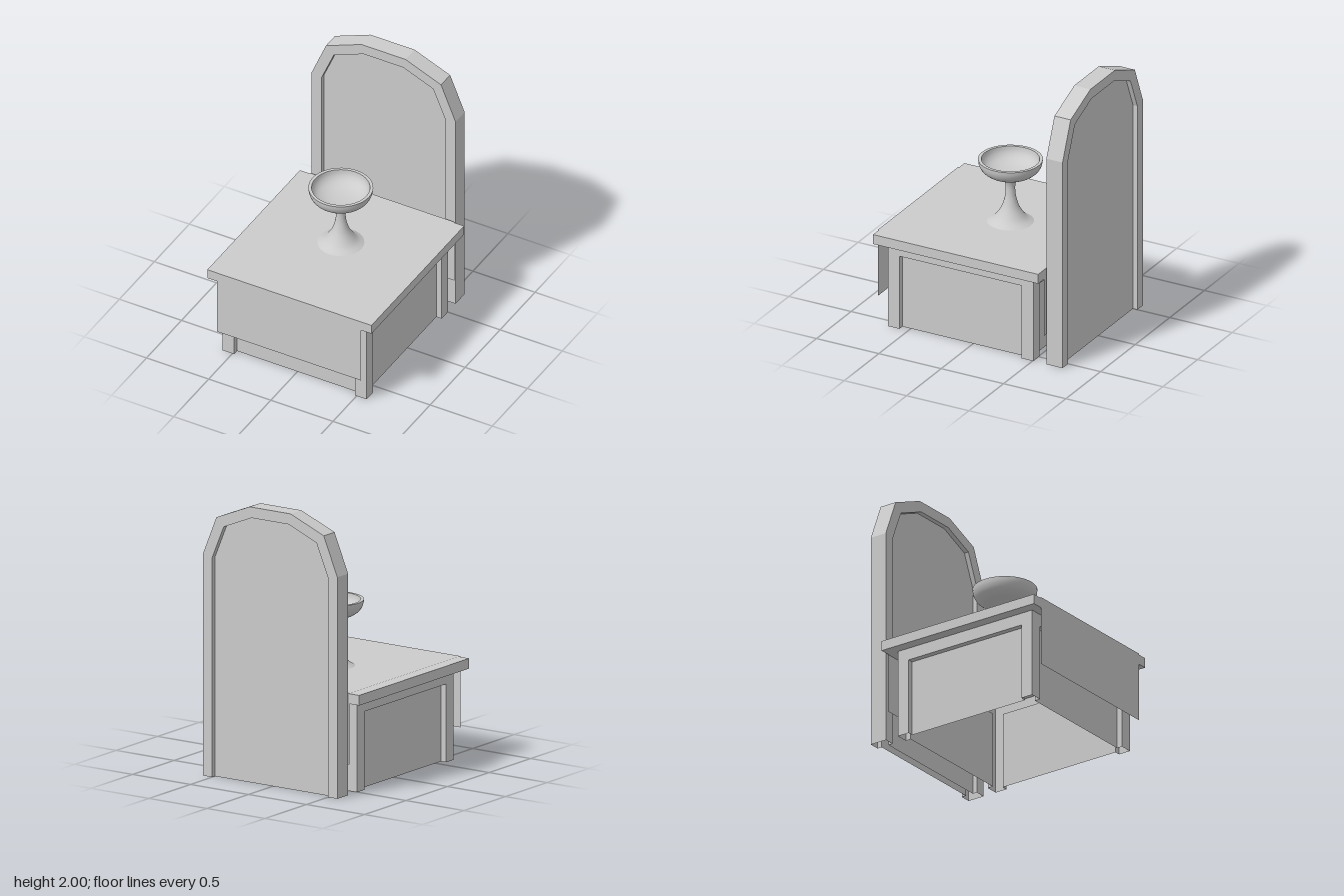
import * as THREE from 'three';
import { mergeGeometries } from 'three/addons/utils/BufferGeometryUtils.js';

const flat = new THREE.MeshStandardMaterial({ color: 0xcccccc, side: THREE.DoubleSide, flatShading: true });
const smooth = new THREE.MeshStandardMaterial({ color: 0xcccccc, side: THREE.DoubleSide });

const vecs = (pts) => pts.map(([x, y]) => new THREE.Vector2(x, y));

function named(name, geometry, material = flat) {
  const mesh = new THREE.Mesh(geometry, material);
  mesh.name = name;
  return mesh;
}

// Sheet swept from z = 0 to z = -depth along a path; it faces the right of travel
function strip(pts, depth) {
  const pos = [];
  for (let i = 0; i < pts.length - 1; i++) {
    const [px, py] = pts[i], [qx, qy] = pts[i + 1];
    pos.push(px, py, 0, px, py, -depth, qx, qy, -depth);
    pos.push(px, py, 0, qx, qy, -depth, qx, qy, 0);
  }
  const g = new THREE.BufferGeometry();
  g.setAttribute('position', new THREE.Float32BufferAttribute(pos, 3));
  g.computeVertexNormals();
  return g;
}

function face(pts) {
  const g = new THREE.ShapeGeometry(new THREE.Shape(vecs(pts))).toNonIndexed();
  g.deleteAttribute('uv');
  return g;
}

// Frame without a bottom rail, its reveal and the recessed panel, facing +z
function framedFace(outer, inner, depth) {
  const frame = face([...outer, ...inner.slice().reverse()]);
  const panel = face(inner).translate(0, 0, -depth);
  return mergeGeometries([frame, panel, strip(inner, depth)]);
}

// Symmetric outline from its right half, bottom left over the top to bottom right
const mirrored = (half) => [...half.map(([x, y]) => [-x, y]), ...half.slice().reverse()];

function createBase() {
  const base = new THREE.Group();
  base.name = 'base';
  const halfX = 0.58, halfZ = 0.583, top = 0.655, post = 0.093, rail = 0.565;
  const sides = [
    ['frontSide', halfX, halfZ, 0],
    ['leftSide', halfZ, halfX, Math.PI / 2],
    ['backSide', halfX, halfZ, Math.PI],
    ['rightSide', halfZ, halfX, -Math.PI / 2],
  ];
  for (const [name, w, d, turn] of sides) {
    const g = framedFace(mirrored([[w, 0], [w, top]]), mirrored([[w - post, 0], [w - post, rail]]), 0.043);
    const mesh = named(name, g.translate(0, 0, d));
    mesh.rotation.y = turn;
    base.add(mesh);
  }
  base.position.z = 0.078;
  return base;
}

function createBackboard() {
  const board = new THREE.Group();
  board.name = 'backboard';
  const thick = 0.13;
  const outer = mirrored([[0.58, 0], [0.58, 1.6], [0.463, 1.883], [0.177, 2]]);
  const inner = mirrored([[0.5, 0], [0.5, 1.585], [0.4, 1.823], [0.16, 1.922]]);
  const front = named('backboardFront', framedFace(outer, inner, 0.035));
  const back = named('backboardBack', framedFace(outer, inner, 0.035));
  back.rotation.y = Math.PI;
  back.position.z = -thick;
  board.add(front, back, named('backboardEdge', strip(outer.slice().reverse(), thick)));
  board.position.z = -0.61;
  return board;
}

function createGoblet() {
  const goblet = new THREE.Group();
  goblet.name = 'goblet';
  const lathe = (pts, n) => new THREE.LatheGeometry(new THREE.SplineCurve(vecs(pts)).getPoints(n), 40);
  // Foot, stem and outside of the bowl
  goblet.add(named('footStemAndBowl', lathe([
    [0.165, 0.732], [0.115, 0.765], [0.067, 0.835], [0.042, 0.91], [0.034, 0.97], [0.036, 1.02],
    [0.054, 1.064], [0.1, 1.088], [0.155, 1.102], [0.2, 1.135], [0.222, 1.175], [0.228, 1.212],
  ], 44), smooth));
  // Inside of the bowl, from rim to centre
  goblet.add(named('bowlInside', lathe([
    [0.205, 1.212], [0.197, 1.175], [0.17, 1.14], [0.12, 1.115], [0.06, 1.103], [0, 1.1],
  ], 20), smooth));
  const rim = named('rim', new THREE.RingGeometry(0.205, 0.228, 40).rotateX(-Math.PI / 2), smooth);
  rim.position.y = 1.212;
  goblet.add(rim);
  return goblet;
}

export function createModel() {
  const model = new THREE.Group();
  model.name = 'altar';

  const tableTop = named('tableTop', new THREE.BoxGeometry(1.32, 0.073, 1.324));
  tableTop.position.set(0, 0.6915, 0.073);

  // Cloth lying over the top and hanging at front and back
  const cloth = named('cloth', strip([[0.592, 0.217], [0.592, 0.732], [-0.74, 0.732], [-0.74, 0.217]], 1.16));
  cloth.rotation.y = Math.PI / 2;
  cloth.position.x = 0.58;

  model.add(createBase(), tableTop, cloth, createBackboard(), createGoblet());
  return model;
}
